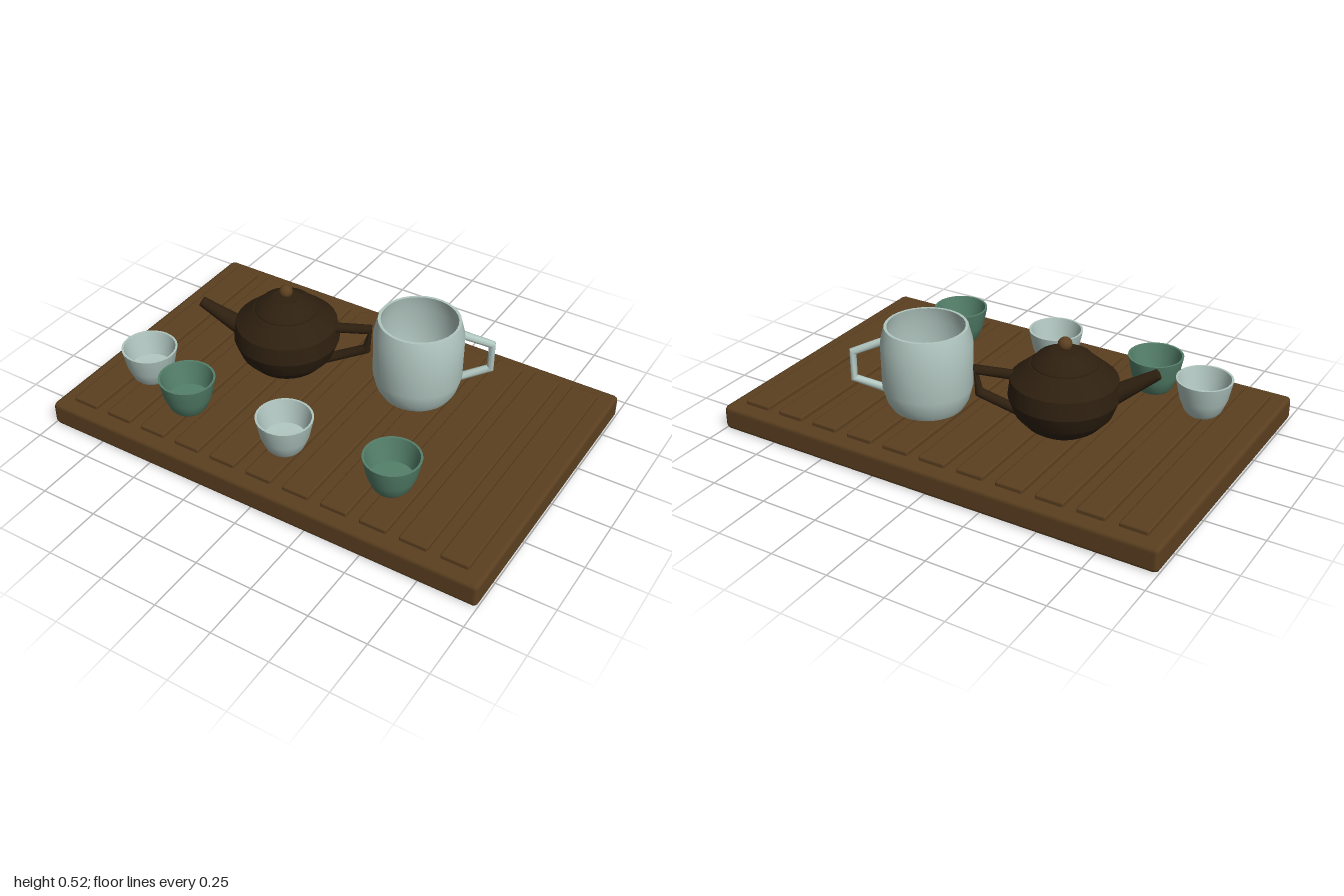
import * as THREE from 'three';
import { toCreasedNormals } from 'three/addons/utils/BufferGeometryUtils.js';
import { RoundedBoxGeometry } from 'three/addons/geometries/RoundedBoxGeometry.js';

const material = (name, color) => {
  const m = new THREE.MeshStandardMaterial({ color });
  m.name = name;
  return m;
};

export function createModel() {
  const wood = material('wood', 0x5c4020);
  const clay = material('darkClay', 0x2e2010);
  const porcelain = material('paleCeladon', 0xb2c7c1);
  const green = material('greenGlaze', 0x54806a);

  const add = (parent, name, geometry, mat, x = 0, y = 0, z = 0) => {
    const mesh = new THREE.Mesh(geometry, mat);
    mesh.name = name;
    mesh.position.set(x, y, z);
    parent.add(mesh);
    return mesh;
  };
  const group = (parent, name, x, y, z, turn = 0) => {
    const g = new THREE.Group();
    g.name = name;
    g.position.set(x, y, z);
    g.rotation.y = turn;
    parent.add(g);
    return g;
  };
  // Turned profile of [radius, height] pairs with crisp rings
  const lathe = (profile, sides) => toCreasedNormals(
    new THREE.LatheGeometry(profile.map(([r, y]) => new THREE.Vector2(r, y)), sides), 0.38);
  // Angular handle: rings of [x, y, tilt] joined by straight runs
  const handle = (rings, radius, sides = 8) => {
    const pos = [], index = [];
    rings.forEach(([x, y, tilt]) => {
      for (let i = 0; i < sides; i++) {
        const a = (i / sides) * Math.PI * 2;
        const u = Math.cos(a) * radius, w = Math.sin(a) * radius;
        pos.push(x - Math.sin(tilt) * u, y + Math.cos(tilt) * u, w);
      }
    });
    for (let k = 0; k < rings.length - 1; k++) {
      for (let i = 0; i < sides; i++) {
        const j = (i + 1) % sides, a = k * sides, b = a + sides;
        index.push(a + i, a + j, b + i, a + j, b + j, b + i);
      }
    }
    const g = new THREE.BufferGeometry();
    g.setAttribute('position', new THREE.Float32BufferAttribute(pos, 3));
    g.setIndex(index);
    return toCreasedNormals(g, 0.9);
  };

  const model = new THREE.Group();
  model.name = 'teaSet';

  // Tray with raised slats
  const tray = group(model, 'tray', 0, 0, 0);
  add(tray, 'trayBase', new RoundedBoxGeometry(2, 0.107, 1.306, 1, 0.02), wood, 0, 0.0535, 0);
  const slat = new RoundedBoxGeometry(0.12, 0.04, 1.18, 1, 0.008);
  for (let i = 0; i < 11; i++) add(tray, 'slat', slat, wood, (i - 5) * 0.174, 0.106, 0);

  const deck = 0.126;

  // Teapot, spout along its own -x
  const pot = group(model, 'teapot', -0.307, 0, -0.09, 0.36);
  add(pot, 'potBody', lathe([
    [0, deck], [0.12, deck], [0.155, 0.15], [0.2, 0.2], [0.226, 0.27],
    [0.217, 0.345], [0.14, 0.41], [0, 0.41],
  ], 32), clay);
  add(pot, 'potLid', lathe([
    [0, 0.395], [0.136, 0.395], [0.134, 0.415], [0.11, 0.44], [0.06, 0.466], [0, 0.472],
  ], 32), clay);
  add(pot, 'lidKnob', new THREE.SphereGeometry(0.029, 16, 12), wood, 0, 0.493, 0);
  const from = new THREE.Vector3(-0.15, 0.255, 0), to = new THREE.Vector3(-0.37, 0.394, 0);
  const axis = to.clone().sub(from);
  const spout = add(pot, 'spout', new THREE.CylinderGeometry(0.022, 0.047, axis.length(), 12), clay);
  spout.position.copy(from).addScaledVector(axis, 0.5);
  spout.quaternion.setFromUnitVectors(new THREE.Vector3(0, 1, 0), axis.normalize());
  add(pot, 'potHandle', handle([
    [0.18, 0.335, 0.1], [0.36, 0.347, -0.4], [0.345, 0.245, -2.3], [0.17, 0.17, -2.75],
  ], 0.022), clay);

  // Serving pitcher, handle along its own +x
  const pitcher = group(model, 'pitcher', 0.262, 0, -0.218, 0.53);
  add(pitcher, 'pitcherBody', lathe([
    [0, deck], [0.152, deck], [0.172, 0.16], [0.188, 0.22], [0.19, 0.415], [0.172, 0.485],
    [0.16, 0.485], [0.177, 0.412], [0.176, 0.222], [0.16, 0.165], [0.145, 0.142], [0, 0.142],
  ], 32), porcelain);
  add(pitcher, 'pitcherHandle', handle([
    [0.175, 0.413, -0.3], [0.302, 0.365, -0.9], [0.302, 0.245, -2.24], [0.175, 0.197, -2.84],
  ], 0.018), porcelain);

  // Four small cups
  const cup = lathe([
    [0, deck], [0.065, deck], [0.079, 0.143], [0.1, 0.195], [0.118, 0.281],
    [0.109, 0.281], [0.086, 0.18], [0, 0.176],
  ], 28);
  [
    [-0.742, 0.302, porcelain], [-0.482, 0.388, green],
    [-0.002, 0.388, porcelain], [0.477, 0.367, green],
  ].forEach(([x, z, mat]) => add(model, 'cup', cup, mat, x, 0, z));

  return model;
}
